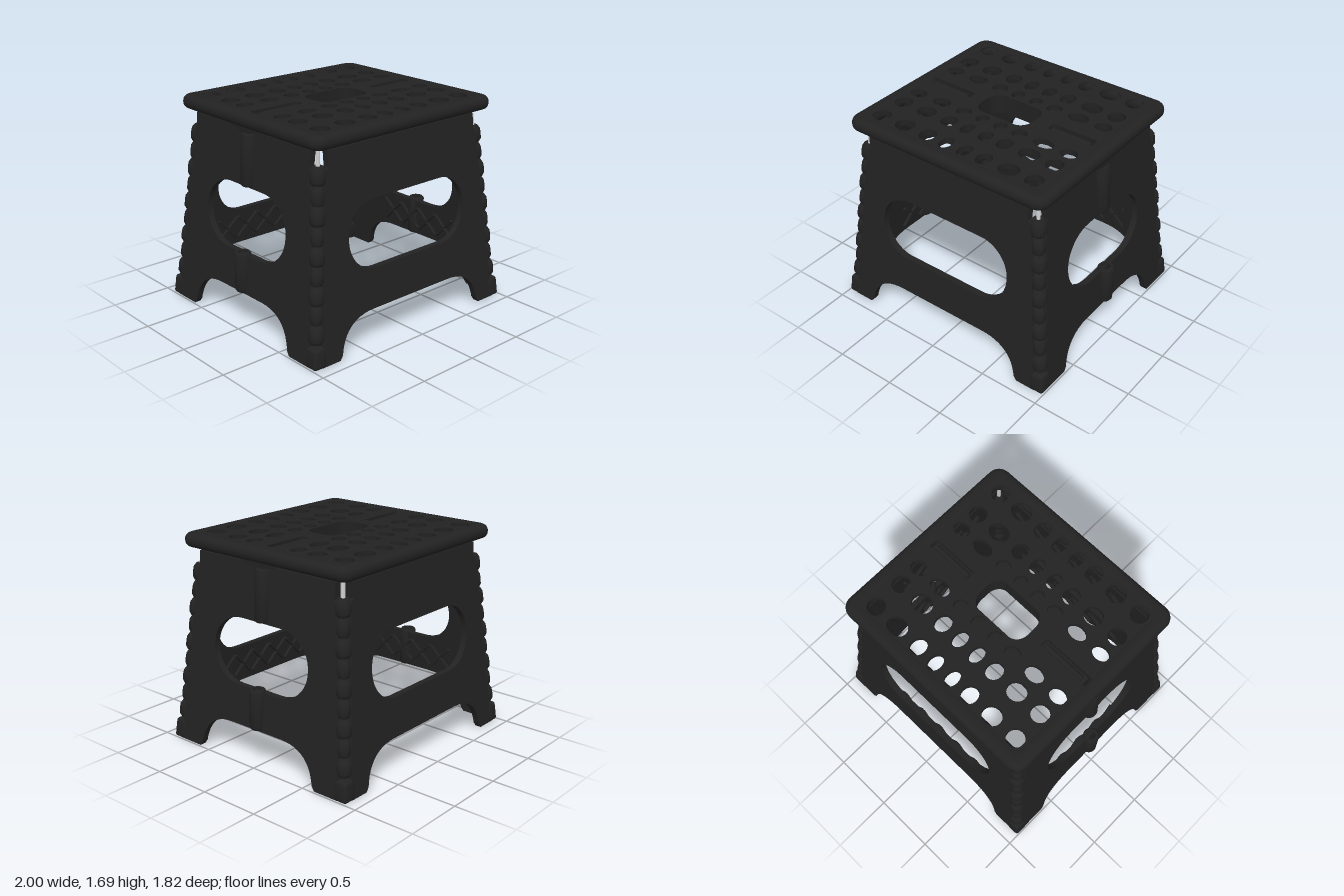
import * as THREE from 'three';
import { toCreasedNormals } from 'three/addons/utils/BufferGeometryUtils.js';
import { RoundedBoxGeometry } from 'three/addons/geometries/RoundedBoxGeometry.js';

const blackPlastic = new THREE.MeshStandardMaterial({ color: 0x222222 });
blackPlastic.name = 'black plastic';
const paleSteel = new THREE.MeshStandardMaterial({ color: 0xc8c8c8 });
paleSteel.name = 'pale steel';

const SLOPE_X = 0.1, SLOPE_Z = 0.095; // how far the walls lean in per unit of height

function part(name, geo, material = blackPlastic) {
  const mesh = new THREE.Mesh(toCreasedNormals(geo, 0.6), material);
  mesh.name = name;
  return mesh;
}

// Lean a geometry inwards as it rises
function lean(geo, sx, sz) {
  const p = geo.attributes.position;
  for (let i = 0; i < p.count; i++) {
    const y = p.getY(i);
    p.setXYZ(i, p.getX(i) - sx * y, y, p.getZ(i) - sz * y);
  }
  geo.computeVertexNormals();
  return geo;
}

// Rectangle with elliptical corners
function roundRect(path, cx, cy, w, h, rx, ry = rx) {
  const l = cx - w, r = cx + w, b = cy - h, t = cy + h, k = 0.448;
  path.moveTo(l + rx, b);
  path.lineTo(r - rx, b);
  path.bezierCurveTo(r - rx * k, b, r, b + ry * k, r, b + ry);
  path.lineTo(r, t - ry);
  path.bezierCurveTo(r, t - ry * k, r - rx * k, t, r - rx, t);
  path.lineTo(l + rx, t);
  path.bezierCurveTo(l + rx * k, t, l, t - ry * k, l, t - ry);
  path.lineTo(l, b + ry);
  path.bezierCurveTo(l, b + ry * k, l + rx * k, b, l + rx, b);
  return path;
}

// Extrude a plan shape upwards from height y
function slab(shape, y, depth, options = {}) {
  return new THREE.ExtrudeGeometry(shape, { depth, bevelEnabled: false, curveSegments: 8, ...options })
    .rotateX(-Math.PI / 2).translate(0, y, 0);
}

// One leaning wall with an arch between its feet, a grip window and inner ribs
function wall(name, { half, topHalf, foot, winW, winR, out, slopeOut, slopeEdge, turn }) {
  const group = new THREE.Group();
  group.name = name;
  const s = new THREE.Shape();
  const flat = foot - 0.33, notch = half - slopeEdge * 1.42;
  s.moveTo(foot + 0.02, 0.005);
  s.lineTo(half, 0.005);
  s.lineTo(notch, 1.42);
  s.lineTo(topHalf, 1.44);
  s.lineTo(topHalf, 1.56);
  s.lineTo(-topHalf, 1.56);
  s.lineTo(-topHalf, 1.44);
  s.lineTo(-notch, 1.42);
  s.lineTo(-half, 0.005);
  s.lineTo(-foot - 0.02, 0.005);
  s.lineTo(-foot + 0.005, 0.04);
  s.bezierCurveTo(-foot + 0.03, 0.2, -flat - 0.2, 0.3, -flat, 0.3);
  s.lineTo(flat, 0.3);
  s.bezierCurveTo(flat + 0.2, 0.3, foot - 0.03, 0.2, foot - 0.005, 0.04);
  s.holes.push(roundRect(new THREE.Path(), 0, 0.87, winW, 0.26, winR, 0.255));
  const panel = new THREE.ExtrudeGeometry(s, { depth: 0.05, bevelEnabled: false, curveSegments: 12 });
  group.add(part('panel', lean(panel.translate(0, 0, out - 0.05), 0, slopeOut).rotateY(turn)));
  // Crossed stiffening ribs on the inside
  for (const y of [0.455, 1.34]) {
    for (let x = -winW + 0.1; x <= winW - 0.09; x += 0.2) {
      for (const a of [-1, 1]) {
        const rib = new THREE.BoxGeometry(0.27, 0.018, 0.03).rotateZ(a * Math.PI / 4);
        rib.translate(x, y, out - 0.062);
        group.add(part('innerRib', lean(rib, 0, slopeOut).rotateY(turn)));
      }
    }
  }
  return group;
}

// Hollow upright hinge sleeve
function sleeve(r, inner, y0, y1) {
  const pts = [[inner, y0], [r - 0.01, y0], [r, y0 + 0.015], [r, y1 - 0.015], [r - 0.01, y1], [inner, y1], [inner, y0]];
  return new THREE.LatheGeometry(pts.map(p => new THREE.Vector2(...p)), 24);
}

function buildSeat() {
  const seat = new THREE.Group();
  seat.name = 'seat';

  // Rounded rim
  const rim = roundRect(new THREE.Shape(), 0, 0, 0.905, 0.83, 0.1);
  rim.holes.push(roundRect(new THREE.Path(), 0, 0, 0.77, 0.695, 0.04));
  seat.add(part('seatRim', slab(rim, 1.63, 0.01,
    { bevelEnabled: true, bevelSize: 0.05, bevelThickness: 0.05, bevelOffset: -0.05, bevelSegments: 5 })));

  // Perforated top plate with grip opening and hinge slots
  const plate = roundRect(new THREE.Shape(), 0, 0, 0.85, 0.775, 0.06);
  const columns = [[-0.71, 0.072], [-0.48, 0.08], [-0.26, 0.065], [-0.085, 0.05],
    [0.085, 0.052], [0.26, 0.062], [0.48, 0.087], [0.7, 0.07]];
  const rows = [[-0.65, 0.073], [-0.4, 0.073], [-0.22, 0.058], [0.225, 0.055], [0.4, 0.07], [0.64, 0.073]];
  for (const [x, rx] of columns) {
    for (const [z, rz] of rows) {
      const hole = new THREE.Path();
      hole.absellipse(x, -z, rx, rz, 0, Math.PI * 2);
      plate.holes.push(hole);
    }
  }
  const grip = () => roundRect(new THREE.Path(), 0, 0, 0.24, 0.145, 0.09, 0.11);
  plate.holes.push(grip());
  plate.holes.push(roundRect(new THREE.Path(), -0.585, 0, 0.225, 0.04, 0.02));
  plate.holes.push(roundRect(new THREE.Path(), 0.575, 0, 0.195, 0.04, 0.02));
  seat.add(part('seatPlate', slab(plate, 1.64, 0.046)));

  // Walls of the grip opening and the closed pocket around it
  for (const [name, w, h, y, d] of [['gripWall', 0.28, 0.185, 1.53, 0.11], ['gripPocket', 0.35, 0.29, 1.6, 0.035]]) {
    const ring = roundRect(new THREE.Shape(), 0, 0, w, h, 0.1);
    ring.holes.push(grip());
    seat.add(part(name, slab(ring, y, d)));
  }

  // Underside ribs between the hole rows
  for (const z of [-0.525, -0.31, 0.31, 0.525]) {
    seat.add(part('seatRib', new THREE.BoxGeometry(1.56, 0.05, 0.02).translate(0, 1.62, z)));
  }
  for (const x of [-0.6, -0.37, 0.37, 0.6]) {
    seat.add(part('seatRib', new THREE.BoxGeometry(0.02, 0.05, 1.42).translate(x, 1.62, 0)));
  }

  // Centre fold: slot floors, hinge bars and pointed side lobes
  const lobe = new THREE.Shape([[-0.25, 1.6], [-0.05, 1.55], [0.05, 1.55], [0.25, 1.6], [0.2, 1.64], [-0.2, 1.64]]
    .map(p => new THREE.Vector2(...p)));
  for (const side of [-1, 1]) {
    seat.add(part('slotFloor', new THREE.BoxGeometry(0.48, 0.03, 0.14).translate(side * 0.58, 1.62, 0)));
    seat.add(part('hingeBar', new THREE.CylinderGeometry(0.022, 0.022, 0.34, 12)
      .rotateZ(Math.PI / 2).translate(side * 0.57, 1.655, 0)));
    seat.add(part('foldLobe', new THREE.ExtrudeGeometry(lobe, { depth: 0.1, bevelEnabled: false })
      .rotateY(Math.PI / 2).translate(side * 0.835 - 0.05, 0, 0)));
  }
  return seat;
}

// Corner hinge: foot, stacked barrel knuckles and steel pin
function buildCorner(sx, sz) {
  const corner = new THREE.Group();
  corner.name = 'cornerHinge';
  const place = geo => lean(geo.translate(sx * 0.94, 0, sz * 0.853), sx * SLOPE_X, sz * SLOPE_Z);
  corner.add(part('cornerFoot', place(new RoundedBoxGeometry(0.115, 0.16, 0.115, 3, 0.025).translate(0, 0.08, 0))));
  const count = 9, y0 = 0.18, pitch = (1.46 - y0) / count;
  for (let i = 0; i < count; i++) {
    const b = y0 + i * pitch, t = b + pitch - 0.012, r = i % 2 ? 0.052 : 0.06;
    const pts = [[0, b], [r * 0.7, b], [r * 0.95, b + 0.025], [r, (b + t) / 2], [r * 0.95, t - 0.025], [r * 0.7, t], [0, t]];
    corner.add(part('knuckle', place(new THREE.LatheGeometry(pts.map(p => new THREE.Vector2(...p)), 16))));
  }
  corner.add(part('hingePin', place(new THREE.CylinderGeometry(0.016, 0.016, 0.16, 10).translate(0, 1.53, 0)), paleSteel));
  return corner;
}

export function createModel() {
  const model = new THREE.Group();
  model.name = 'foldingStepStool';
  model.add(buildSeat());

  const long = { half: 0.915, topHalf: 0.745, foot: 0.73, winW: 0.6, winR: 0.25, out: 0.905, slopeOut: SLOPE_Z, slopeEdge: SLOPE_X };
  const short = { half: 0.83, topHalf: 0.68, foot: 0.585, winW: 0.48, winR: 0.28, out: 0.99, slopeOut: SLOPE_X, slopeEdge: SLOPE_Z };
  model.add(wall('frontWall', { ...long, turn: 0 }));
  model.add(wall('backWall', { ...long, turn: Math.PI }));
  model.add(wall('leftWall', { ...short, turn: Math.PI / 2 }));
  model.add(wall('rightWall', { ...short, turn: -Math.PI / 2 }));

  for (const sx of [-1, 1]) {
    // Fold sleeves in the middle of each side wall
    model.add(part('lowerFoldSleeve', sleeve(0.065, 0.035, 0.31, 0.63).translate(sx * 0.935, 0, 0)));
    model.add(part('upperFoldSleeve', lean(sleeve(0.068, 0.035, 1.14, 1.55).translate(sx * 0.91, 0, 0), sx * 0.05, 0)));
    for (const sz of [-1, 1]) model.add(buildCorner(sx, sz));
  }
  return model;
}
